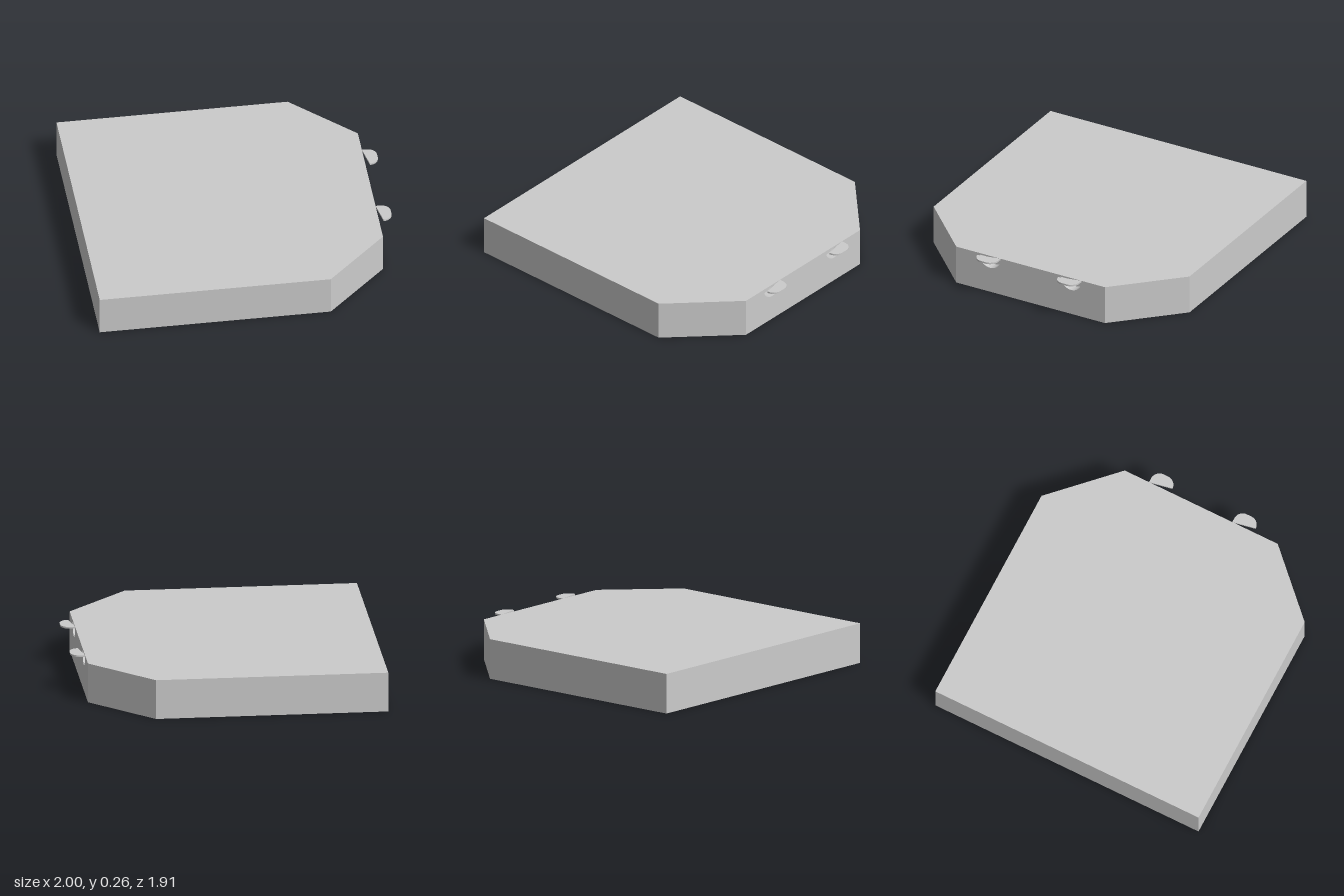
import * as THREE from 'three';
import { toCreasedNormals } from 'three/addons/utils/BufferGeometryUtils.js';

const HEIGHT = 0.263, HALF_DEPTH = 0.955, FACE_X = 0.91;
const TAB_THICK = 0.011, TAB_R = 0.077, POCKET_DEPTH = 0.06, STRIP_HALF = 0.5;
const TAB_Z = [-0.302, 0.302];

export function createModel() {
  const group = new THREE.Group();
  const material = new THREE.MeshStandardMaterial({ color: 0xcccccc });

  const extrude = (name, shape, depth) => {
    const geo = new THREE.ExtrudeGeometry(shape, { depth, bevelEnabled: false, curveSegments: 20 });
    const mesh = new THREE.Mesh(toCreasedNormals(geo, 0.6), material);
    mesh.name = name;
    group.add(mesh);
    return mesh;
  };

  // Slab with two chamfered corners, stepped back where the pocketed edge sits
  const innerX = FACE_X - POCKET_DEPTH;
  const outline = new THREE.Shape([
    [-1, -HALF_DEPTH], [0.51, -HALF_DEPTH], [FACE_X, -0.555],
    [FACE_X, -STRIP_HALF], [innerX, -STRIP_HALF], [innerX, STRIP_HALF], [FACE_X, STRIP_HALF],
    [FACE_X, 0.555], [0.51, HALF_DEPTH], [-1, HALF_DEPTH],
  ].map(([x, y]) => new THREE.Vector2(x, y)));
  extrude('body', outline, HEIGHT).rotation.x = -Math.PI / 2;

  // Edge strip with a half-round pocket under each tab
  const strip = new THREE.Shape();
  strip.moveTo(-STRIP_HALF, 0).lineTo(STRIP_HALF, 0).lineTo(STRIP_HALF, HEIGHT).lineTo(-STRIP_HALF, HEIGHT);
  for (const z of TAB_Z) {
    const pocket = new THREE.Path();
    pocket.absarc(z, HEIGHT - TAB_THICK, TAB_R, Math.PI, Math.PI * 2, false);
    pocket.closePath();
    strip.holes.push(pocket);
  }
  const edge = extrude('pocketedEdge', strip, POCKET_DEPTH);
  edge.rotation.y = Math.PI / 2;
  edge.position.x = innerX;

  // Thin rounded tabs flush with the top
  const r = 0.06;
  for (const z of TAB_Z) {
    const tab = new THREE.Shape();
    tab.moveTo(FACE_X, -TAB_R);
    tab.absarc(1 - r, -TAB_R + r, r, -Math.PI / 2, 0, false);
    tab.absarc(1 - r, TAB_R - r, r, 0, Math.PI / 2, false);
    tab.lineTo(FACE_X, TAB_R);
    const mesh = extrude(z > 0 ? 'frontTab' : 'backTab', tab, TAB_THICK);
    mesh.rotation.x = -Math.PI / 2;
    mesh.position.set(0, HEIGHT - TAB_THICK, z);
  }
  return group;
}
